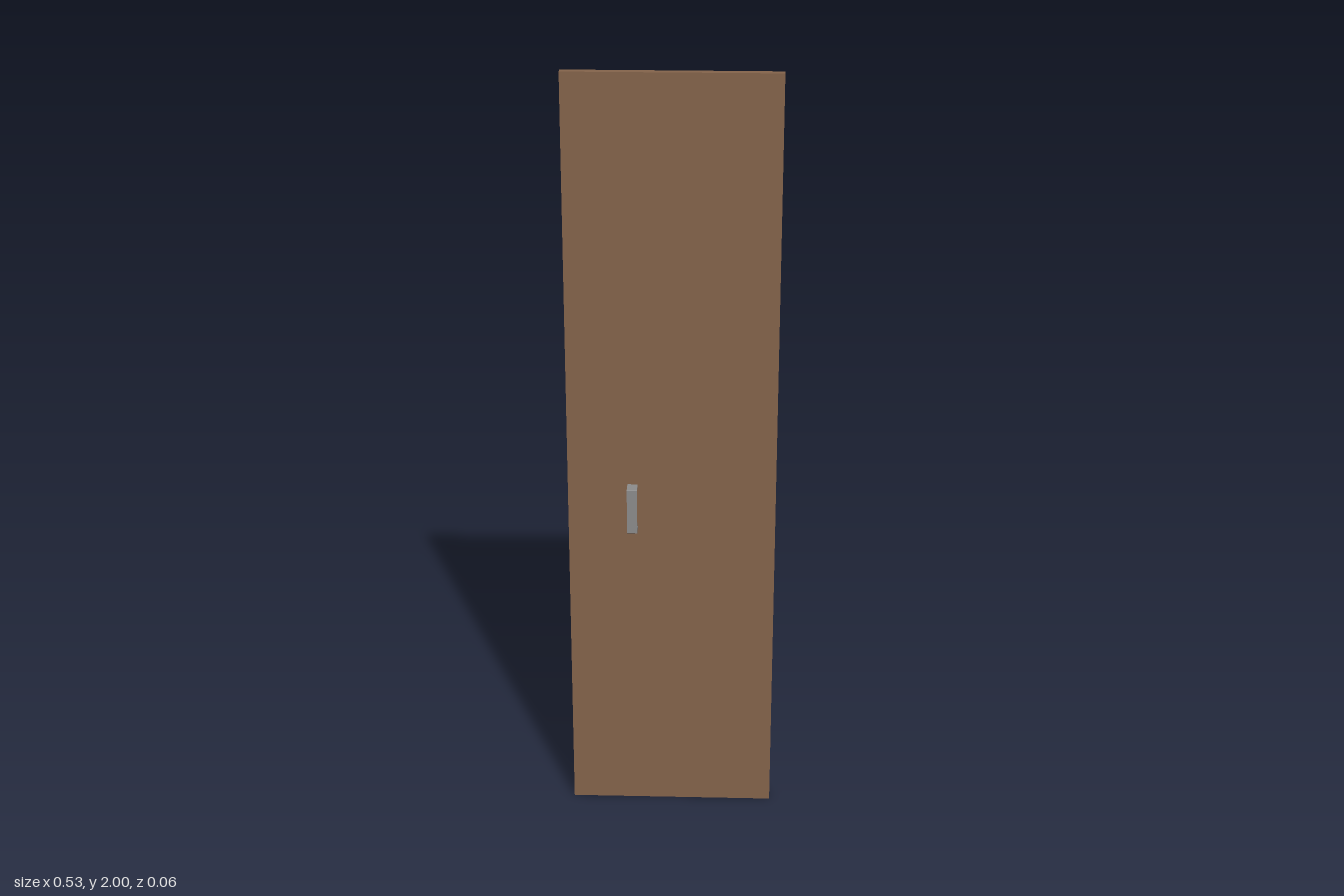
import * as THREE from 'three';

export function createModel() {
  const model = new THREE.Group();
  const wood = new THREE.MeshStandardMaterial({ color: 0x85644b, flatShading: true });
  const metal = new THREE.MeshStandardMaterial({ color: 0x8c8c8c, flatShading: true });

  const back = -0.029, face = -0.009, front = 0.027;

  // Flat door panel
  const panel = new THREE.Mesh(new THREE.BoxGeometry(0.53, 2, face - back), wood);
  panel.name = 'doorPanel';
  panel.position.set(0, 1, (face + back) / 2);
  model.add(panel);

  // Pull handle: a flat strap bent into a bracket, drawn in side profile (z, y)
  const bottom = 0.815, top = 0.938, strap = 0.005, chamfer = 0.002;
  const profile = new THREE.Shape([
    [face, bottom], [front - chamfer, bottom], [front, bottom + chamfer],
    [front, top - chamfer], [front - chamfer, top], [face, top],
    [face, top - strap], [front - strap, top - strap],
    [front - strap, bottom + strap], [face, bottom + strap],
  ].map(([z, y]) => new THREE.Vector2(z, y)));
  const strapGeometry = new THREE.ExtrudeGeometry(profile, { depth: 0.026, bevelEnabled: false });
  strapGeometry.rotateY(-Math.PI / 2);
  const handle = new THREE.Mesh(strapGeometry, metal);
  handle.name = 'pullHandle';
  handle.position.x = -0.087;
  model.add(handle);

  return model;
}
